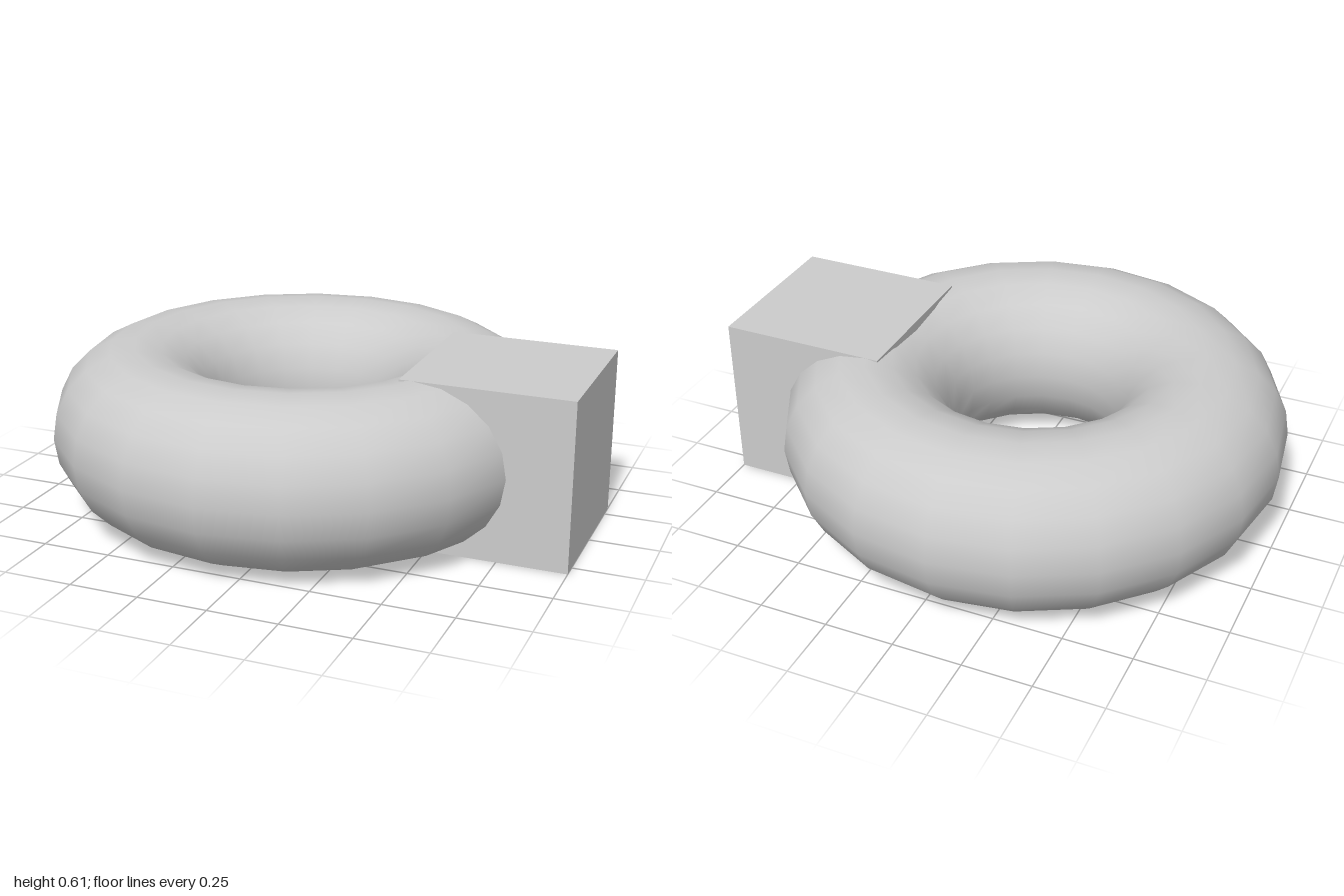
import * as THREE from 'three';

export function createModel() {
  const group = new THREE.Group();
  const material = new THREE.MeshStandardMaterial({ color: 0xcccccc });
  const tube = 0.305;

  // Smooth ring lying flat, 20 sides around and across
  const ring = new THREE.Mesh(new THREE.TorusGeometry(2 * tube, tube, 20, 20), material);
  ring.name = 'ring';
  ring.rotation.x = -Math.PI / 2;
  ring.position.set(-1 + 3 * tube, tube, 0);
  group.add(ring);

  // Cube set into the ring's left side, as tall as the tube
  const block = new THREE.Mesh(new THREE.BoxGeometry(2 * tube, 2 * tube, 2 * tube), material);
  block.name = 'block';
  block.position.set(1 - tube, tube, 0);
  group.add(block);

  return group;
}
